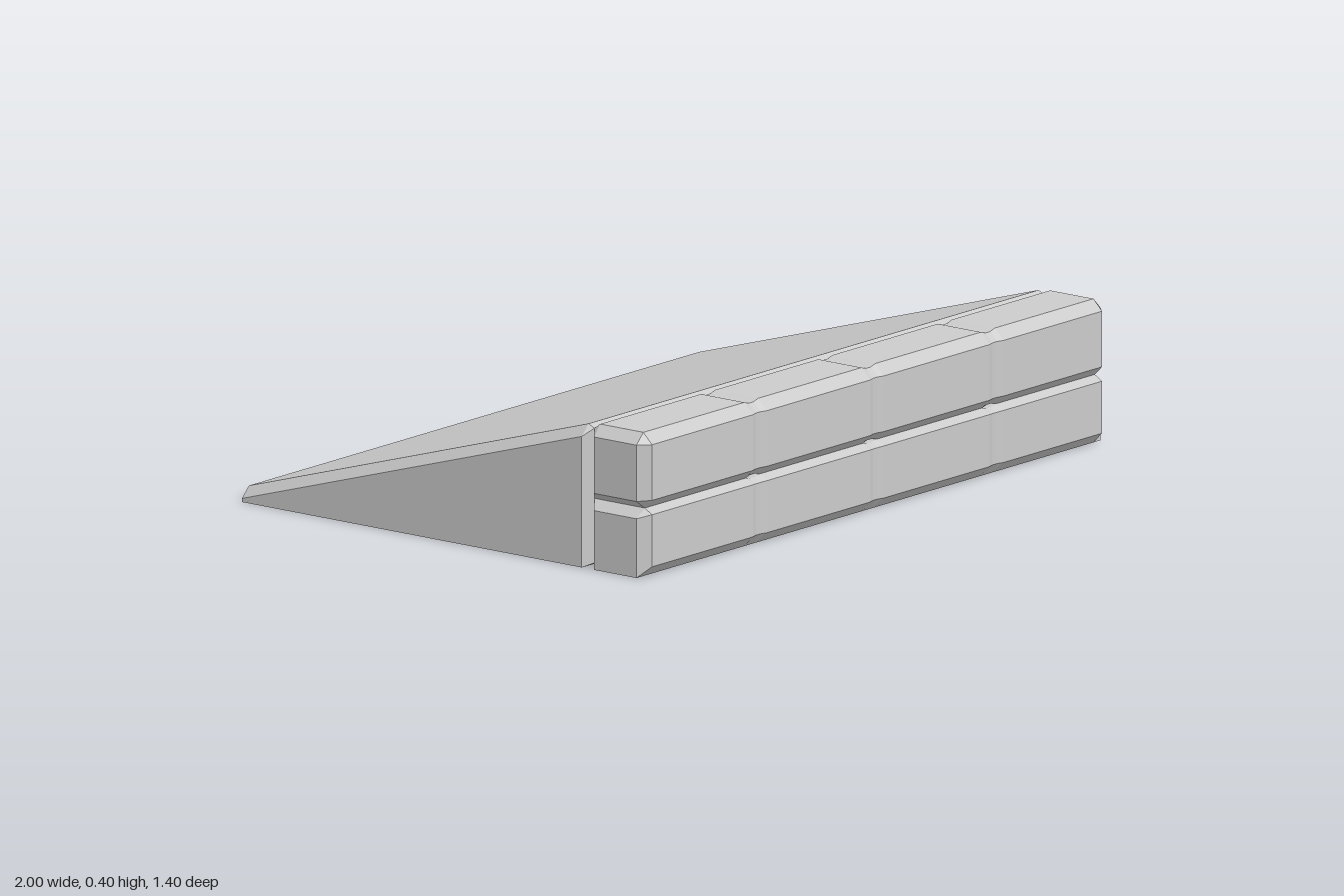
import * as THREE from 'three';

const material = new THREE.MeshStandardMaterial({ color: 0xcccccc, flatShading: true });

// Skin a row of equal-length [z, y] outlines placed along x, with flat end caps
function loft(name, stations) {
  const pos = [];
  const tri = (...pts) => {
    const [a, b, c] = pts.map((p) => new THREE.Vector3(...p));
    if (b.clone().sub(a).cross(c.clone().sub(a)).length() > 1e-7) {
      for (const p of pts) pos.push(...p);
    }
  };
  const rings = stations.map(({ x, outline }) => outline.map(([z, y]) => [x, y, z]));
  const n = rings[0].length;
  for (let s = 0; s < rings.length - 1; s++) {
    const a = rings[s], b = rings[s + 1];
    for (let i = 0; i < n; i++) {
      const j = (i + 1) % n;
      tri(a[i], b[i], b[j]);
      tri(a[i], b[j], a[j]);
    }
  }
  const first = rings[0], last = rings[rings.length - 1];
  for (let i = 1; i < n - 1; i++) {
    tri(first[0], first[i], first[i + 1]);
    tri(last[0], last[i + 1], last[i]);
  }
  const geometry = new THREE.BufferGeometry();
  geometry.setAttribute('position', new THREE.Float32BufferAttribute(pos, 3));
  geometry.computeVertexNormals();
  const mesh = new THREE.Mesh(geometry, material);
  mesh.name = name;
  return mesh;
}

// Outline between the full section (t = 0) and the shrunken end section (t = 1)
const blend = (full, end, t) =>
  full.map(([z, y], i) => [z + (end[i][0] - z) * t, y + (end[i][1] - y) * t]);

// Bevelled body running the full width, with optional shallow joints across it
function bevelled(name, full, end, joints = []) {
  const stations = [{ x: -1, outline: end }, { x: -0.97, outline: full }];
  for (const x of joints) {
    stations.push(
      { x: x - 0.03, outline: full },
      { x: x - 0.01, outline: blend(full, end, 0.2) },
      { x: x + 0.01, outline: blend(full, end, 0.2) },
      { x: x + 0.03, outline: full },
    );
  }
  stations.push({ x: 0.97, outline: full }, { x: 1, outline: end });
  return loft(name, stations);
}

export function createModel() {
  const group = new THREE.Group();
  group.name = 'ramp';
  const joints = [-0.505, 0, 0.515];

  // Sloping wedge behind the wall
  group.add(bevelled('slope',
    [[-0.7, 0], [0.48, 0], [0.5, 0.01], [0.5, 0.385], [0.48, 0.395], [-0.7, 0.04]],
    [[-0.7, 0], [0.48, 0], [0.48, 0], [0.48, 0.365], [0.48, 0.365], [-0.7, 0.01]]));

  // Lower block course of the front wall
  group.add(bevelled('lowerCourse',
    [[0.5, 0.01], [0.52, 0], [0.67, 0], [0.7, 0.03], [0.7, 0.175], [0.675, 0.19], [0.5, 0.19]],
    [[0.523, 0], [0.523, 0], [0.67, 0], [0.67, 0.03], [0.67, 0.165], [0.67, 0.165], [0.523, 0.165]],
    joints));

  // Upper block course of the front wall
  group.add(bevelled('upperCourse',
    [[0.5, 0.19], [0.675, 0.19], [0.7, 0.215], [0.7, 0.37], [0.67, 0.4], [0.52, 0.4], [0.5, 0.385]],
    [[0.523, 0.213], [0.67, 0.213], [0.67, 0.213], [0.67, 0.37], [0.67, 0.37], [0.523, 0.37], [0.523, 0.37]],
    joints));

  return group;
}
